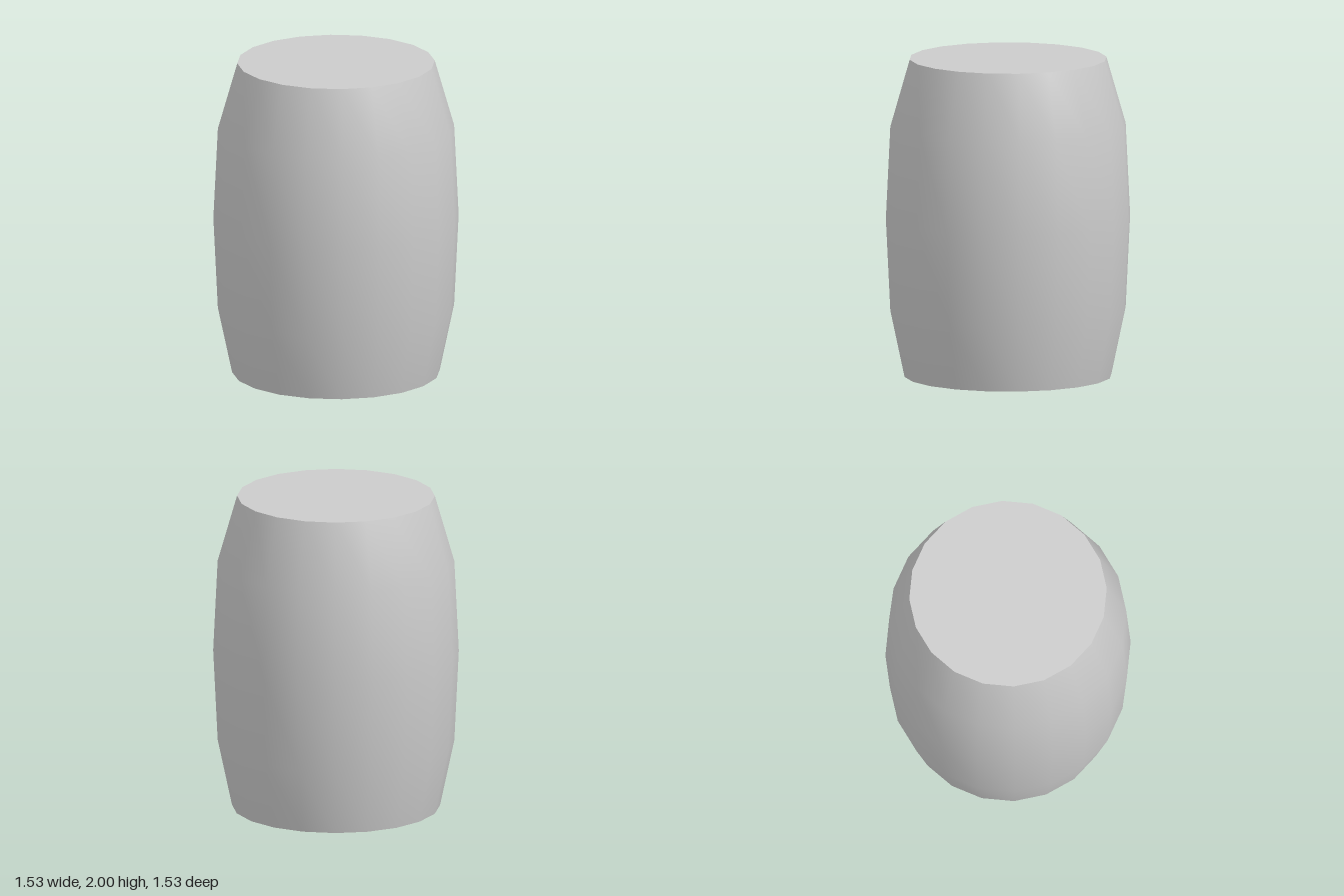
import * as THREE from 'three';

const SIDES = 20;

export function createModel() {
  const group = new THREE.Group();
  group.name = 'barrel';
  const material = new THREE.MeshStandardMaterial({ color: 0xcccccc });

  // Bulging side wall: [radius, height] from bottom to top
  const profile = [[0.648, 0], [0.737, 0.42], [0.765, 1], [0.737, 1.58], [0.616, 2]]
    .map(([r, y]) => new THREE.Vector2(r, y));
  const wall = new THREE.Mesh(new THREE.LatheGeometry(profile, SIDES), material);
  wall.name = 'barrelWall';
  group.add(wall);

  // Flat end discs, sharp against the smooth wall
  const addEnd = (name, { x: radius, y }, facing) => {
    const end = new THREE.Mesh(new THREE.CircleGeometry(radius, SIDES), material);
    end.name = name;
    end.rotation.x = -facing * Math.PI / 2;
    end.position.y = y;
    group.add(end);
  };
  addEnd('bottomEnd', profile[0], -1);
  addEnd('topEnd', profile[profile.length - 1], 1);

  return group;
}
